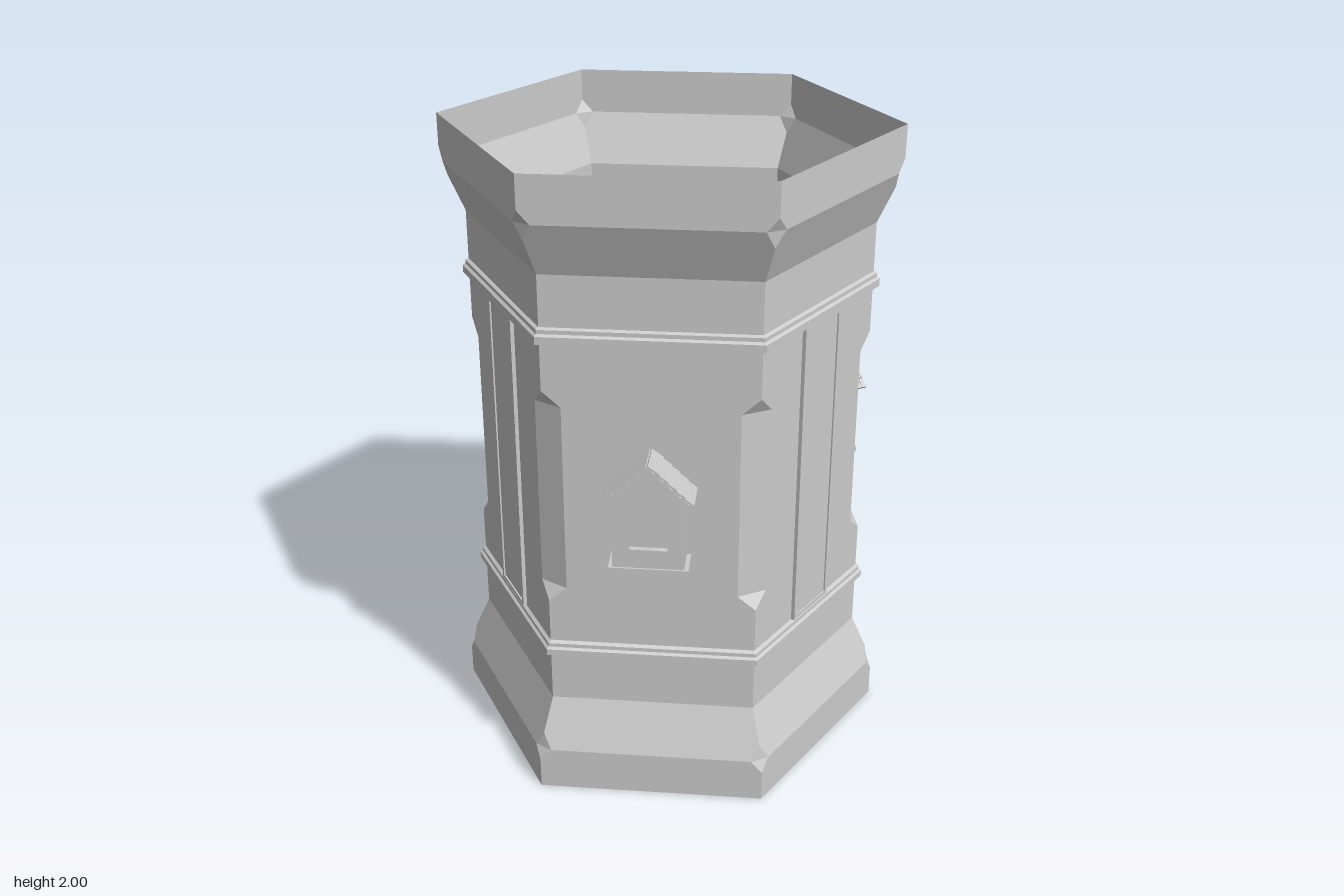
import * as THREE from 'three';
import { mergeGeometries } from 'three/addons/utils/BufferGeometryUtils.js';

const stone = new THREE.MeshStandardMaterial({ color: 0xcccccc, flatShading: true, side: THREE.DoubleSide });
const APOTHEM = 0.541; // centre to flat of the shaft

function addMesh(parent, name, geometry) {
  const mesh = new THREE.Mesh(geometry, stone);
  mesh.name = name;
  parent.add(mesh);
  return mesh;
}

function polygon(points) {
  return new THREE.Shape(points.map(([x, y]) => new THREE.Vector2(x, y)));
}

function extrude(shape, z0, z1) {
  const geometry = new THREE.ExtrudeGeometry(shape, { depth: z1 - z0, bevelEnabled: false });
  return geometry.translate(0, 0, z0);
}

// Hexagonal ring whose corners are cut back along both sides by `cut`
function hexRing([y, radius, cut = 0]) {
  const corner = (k) => new THREE.Vector3(radius * Math.cos(k * Math.PI / 3), y, radius * Math.sin(k * Math.PI / 3));
  const ring = [];
  for (let k = 0; k < 6; k++) {
    for (const side of [-1, 1]) ring.push(corner(k).lerp(corner(k + side), cut / radius));
  }
  return ring;
}

// Thin open wall: one profile of [height, corner radius, corner cut]
function wallGeometry() {
  const profile = [
    [0, 0.697], [0.1, 0.697], [0.14, 0.697, 0.035], [0.19, 0.6745], [0.3, 0.625],
    [0.465, 0.625], [0.467, 0.645], [0.487, 0.645], [0.493, 0.636], [0.505, 0.636], [0.512, 0.625],
    [0.655, 0.625], [0.7, 0.625, 0.055], [1.3, 0.625, 0.055], [1.35, 0.625],
    [1.495, 0.625], [1.498, 0.645], [1.522, 0.645], [1.528, 0.636], [1.54, 0.636], [1.545, 0.625],
    [1.7, 0.625], [1.81, 0.6745], [1.86, 0.697, 0.035], [1.9, 0.697], [2, 0.697],
  ];
  const rings = profile.map(hexRing);
  const points = [];
  const triangle = (a, b, c) => {
    if (new THREE.Triangle(a, b, c).getArea() > 1e-8) points.push(a, b, c);
  };
  for (let r = 0; r + 1 < rings.length; r++) {
    const low = rings[r], high = rings[r + 1];
    for (let i = 0; i < 12; i++) {
      const j = (i + 1) % 12;
      triangle(low[i], high[i], low[j]);
      triangle(low[j], high[i], high[j]);
    }
  }
  const geometry = new THREE.BufferGeometry().setFromPoints(points);
  geometry.computeVertexNormals();
  return geometry;
}

// Tall framed panel between the two bands
function createPanel() {
  const panel = new THREE.Group();
  panel.name = 'tallPanel';
  const rect = (w, y0, y1) => [[-w, y0], [w, y0], [w, y1], [-w, y1]];
  const frame = polygon(rect(0.1, 0.512, 1.496));
  frame.holes.push(polygon(rect(0.088, 0.524, 1.484)));
  addMesh(panel, 'panelFrame', extrude(frame, APOTHEM, APOTHEM + 0.012));
  addMesh(panel, 'panelField', extrude(polygon(rect(0.088, 0.524, 1.484)), APOTHEM + 0.001, APOTHEM + 0.007));
  return panel;
}

// Overlapping staggered tiles on one roof slope, running down +x from the ridge
function tileGeometry(depth) {
  const tiles = [];
  const rows = 5, columns = 7, step = depth / columns;
  for (let r = 0; r < rows; r++) {
    const half = r % 2;
    for (let c = 0; c < columns + half; c++) {
      const isEnd = half && (c === 0 || c === columns);
      const width = isEnd ? step / 2 : step;
      let z = -depth / 2 + (c + 0.5 - half * 0.5) * step;
      if (isEnd) z += (c === 0 ? 1 : -1) * step / 4;
      const tile = new THREE.BoxGeometry(0.042, 0.007, width - 0.0015);
      tile.rotateZ(0.13);
      tile.translate(0.019 + r * 0.034, 0.006, z);
      tiles.push(tile);
    }
  }
  return mergeGeometries(tiles);
}

// Small gabled house set through the wall
function createHouse() {
  const house = new THREE.Group();
  house.name = 'smallHouse';
  const front = 0.634;

  // Gabled body with a pointed doorway
  const door = [[-0.056, 0.9], [0.056, 0.9], [0.056, 1.035], [0, 1.085], [-0.056, 1.035]];
  const body = polygon([[-0.105, 0.83], [0.105, 0.83], [0.105, 1.06], [0, 1.165], [-0.105, 1.06]]);
  body.holes.push(polygon(door));
  addMesh(house, 'houseBody', extrude(body, 0.515, front));
  addMesh(house, 'doorBack', extrude(polygon(door), 0.52, front - 0.018));

  // Base slab with small feet
  addMesh(house, 'houseBase', new THREE.BoxGeometry(0.236, 0.016, 0.125).translate(0, 0.832, 0.5775));
  for (const side of [-1, 1]) {
    addMesh(house, 'houseFoot', new THREE.BoxGeometry(0.025, 0.012, 0.12).translate(side * 0.104, 0.82, 0.576));
  }

  // Roof boards and tiles
  const roof = polygon([[0, 1.178], [0.12, 1.063], [0.11, 1.052], [0, 1.157], [-0.11, 1.052], [-0.12, 1.063]]);
  addMesh(house, 'roofBoards', extrude(roof, 0.495, 0.652));
  const depth = 0.112;
  for (const turn of [0, Math.PI]) {
    const slope = new THREE.Group();
    slope.name = 'roofSlope';
    slope.position.set(0, 1.178, 0.655 - depth / 2);
    slope.rotation.y = turn;
    addMesh(slope, 'roofTiles', tileGeometry(depth)).rotation.z = -Math.atan2(0.115, 0.12);
    house.add(slope);
  }
  return house;
}

export function createModel() {
  const model = new THREE.Group();
  model.name = 'hexagonalTower';
  model.position.z = -0.025;
  addMesh(model, 'towerWall', wallGeometry());

  // Houses and panels alternate around the six sides
  for (let k = 0; k < 6; k++) {
    const feature = k % 2 === 0 ? createHouse() : createPanel();
    feature.rotation.y = k * Math.PI / 3;
    model.add(feature);
  }
  return model;
}
